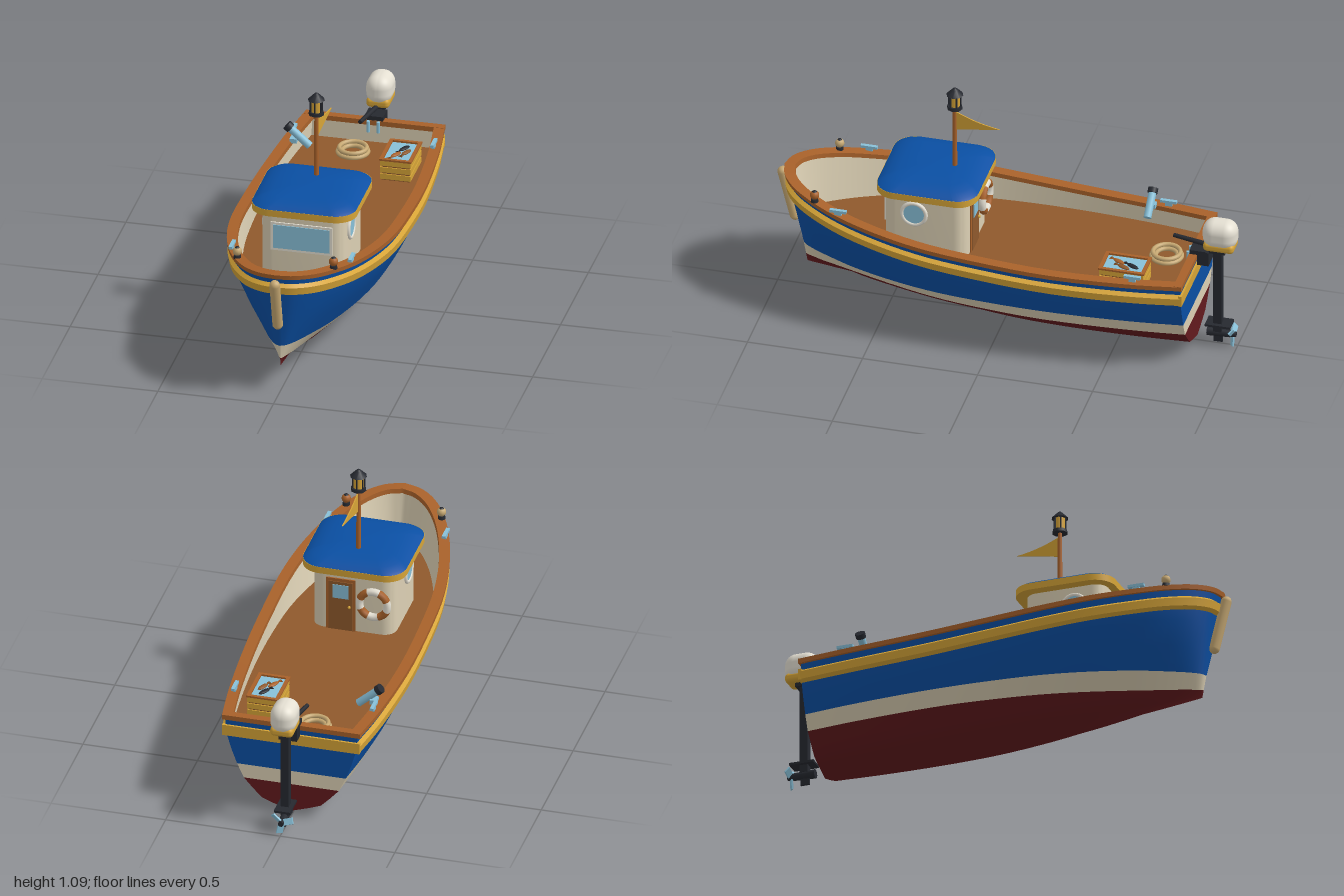
import * as THREE from 'three';
import { toCreasedNormals } from 'three/addons/utils/BufferGeometryUtils.js';
import { RoundedBoxGeometry } from 'three/addons/geometries/RoundedBoxGeometry.js';

const paint = (name, color) => Object.assign(new THREE.MeshStandardMaterial({ color }), { name });

// Skin over rows of points; faces look outward when rows rise and run towards +z on the +x side
function grid(rows) {
  const n = rows[0].length, pos = [], index = [];
  rows.forEach(row => row.forEach(p => pos.push(p.x, p.y, p.z)));
  for (let r = 0; r < rows.length - 1; r++) for (let c = 0; c < n - 1; c++) {
    const a = r * n + c, b = a + 1, d = a + n, e = d + 1;
    index.push(a, d, b, b, d, e);
  }
  const g = new THREE.BufferGeometry();
  g.setAttribute('position', new THREE.Float32BufferAttribute(pos, 3));
  g.setIndex(index);
  g.computeVertexNormals();
  return g;
}

// Sheer line of one side, stern to bow: half width, height, z
const STERN = -0.825, BOW = 0.955, N = 36;
const sheer = new THREE.CatmullRomCurve3([
  [0.29, 0.442, STERN], [0.32, 0.44, -0.6], [0.346, 0.445, -0.25], [0.35, 0.464, 0.05], [0.342, 0.486, 0.3],
  [0.312, 0.51, 0.5], [0.263, 0.532, 0.67], [0.209, 0.552, 0.79], [0.142, 0.568, 0.885], [0.07, 0.578, 0.938], [0, 0.582, BOW],
].map(p => new THREE.Vector3(...p)));
const stations = Array.from({ length: N + 1 }, (_, i) => sheer.getPoint(i / N));
const keelY = z => 0.03 + 0.095 * Math.pow((z - STERN) / 1.78, 2.5);
const section = [[0, 0], [0.1, 0.43], [0.295, 0.7], [0.44, 0.8], [0.75, 0.96], [1, 1]];

function fullness(h) {
  for (let i = 1; i < section.length; i++) {
    const [h0, f0] = section[i - 1], [h1, f1] = section[i];
    if (h <= h1) return f0 + (f1 - f0) * Math.max(0, h - h0) / (h1 - h0);
  }
  return 1;
}

// Point on the hull at station k and height y
function hullPoint(k, y) {
  const p = stations[k], s = (p.z - STERN) / (BOW - STERN), kb = keelY(p.z);
  const f = Math.pow(fullness((y - kb) / (p.y - kb)), 1 + 0.9 * s ** 4);
  const stem = 0.87 + (y - 0.125) * 0.185;
  return new THREE.Vector3(p.x * f, y, STERN + s * (stem - STERN));
}

// Line round the hull from stern to bow and back, pushed out by d
function hullLine(height, d = 0) {
  const pts = [];
  for (let i = 0; i <= 2 * N; i++) {
    const k = i <= N ? i : 2 * N - i, p = hullPoint(k, height(k));
    if (i > N) p.x *= -1;
    pts.push(p);
  }
  return pts.map((p, i) => {
    const a = pts[Math.max(0, i - 1)], b = pts[Math.min(2 * N, i + 1)];
    const dx = b.x - a.x, dz = b.z - a.z, l = Math.hypot(dx, dz) || 1;
    const q = new THREE.Vector3(p.x + dz / l * d, p.y, i === 0 || i === 2 * N ? p.z : p.z - dx / l * d);
    q.x = i < N ? Math.max(0, q.x) : i > N ? Math.min(0, q.x) : 0;
    return q;
  });
}
const sweep = pts => toCreasedNormals(grid(pts.map(([d, dy]) => hullLine(k => stations[k].y + dy, d))), 0.5);

// Rounded rectangle, drawn with its y as -z
function roundedShape(hx, z0, z1, r) {
  const s = new THREE.Shape(), q = Math.PI / 2;
  s.absarc(hx - r, -z0 - r, r, 0, q);
  s.absarc(-hx + r, -z0 - r, r, q, 2 * q);
  s.absarc(-hx + r, -z1 + r, r, 2 * q, 3 * q);
  s.absarc(hx - r, -z1 + r, r, 3 * q, 4 * q);
  s.closePath();
  return s;
}
const slab = (shape, y, depth) => toCreasedNormals(
  new THREE.ExtrudeGeometry(shape, { depth, bevelEnabled: false, curveSegments: 5 }).rotateX(-Math.PI / 2).translate(0, y, 0), 0.6);

export function createModel() {
  const model = new THREE.Group();
  const blue = paint('blue paint', 0x0a4fa3), gold = paint('gold paint', 0xd6a437), cream = paint('cream paint', 0xdcd0b4);
  const red = paint('bottom red', 0x621a1d), wood = paint('varnished wood', 0xa8612a), planks = paint('deck wood', 0x8f592c);
  const black = paint('black metal', 0x262930), glass = paint('pale blue', 0x88c0d8), rope = paint('rope tan', 0xc7a973);
  const white = paint('cowl white', 0xe4dfd2);
  const add = (name, geo, mat, pos = [0, 0, 0], rot = [0, 0, 0], parent = model) => {
    const m = new THREE.Mesh(geo, mat);
    m.name = name;
    m.position.set(...pos);
    m.rotation.set(...rot);
    parent.add(m);
    return m;
  };
  const box = (name, mat, size, pos, rot) => add(name, new THREE.BoxGeometry(...size), mat, pos, rot);
  const cyl = (name, mat, r0, r1, h, pos, rot, n = 12) => add(name, new THREE.CylinderGeometry(r0, r1, h, n), mat, pos, rot);

  // Hull in painted bands, each with its piece of transom
  const low = k => keelY(stations[k].z), mix = (a, b, t) => a + (b - a) * t;
  const bands = [
    ['bottom', red, [0, 0.2, 0.35, 0.65, 1].map(t => k => mix(low(k), 0.16, t))],
    ['waterlineBand', cream, [0, 1].map(t => () => mix(0.16, 0.225, t))],
    ['topside', blue, [0, 0.3, 0.6, 0.8, 1].map(t => k => mix(0.225, stations[k].y, t))],
  ];
  for (const [name, mat, heights] of bands) {
    const rows = heights.map(h => hullLine(h));
    add(name, grid(rows), mat);
    add(name + 'Transom', grid(rows.map(r => [r[2 * N], r[0]])), mat);
  }

  // Bulwark lining, deck, rub strake and rail
  const deckY = 0.357, deckLine = hullLine(() => deckY, -0.014);
  add('bulwarkLining', grid([hullLine(k => stations[k].y, -0.028), deckLine]), cream);
  box('transomLining', cream, [0.54, 0.09, 0.02], [0, 0.4, -0.81]);
  add('deck', grid([deckLine.slice(0, N + 1), deckLine.slice(N).reverse()]), planks);
  add('rubStrake', sweep([[0, -0.09], [0.018, -0.08], [0.018, -0.046], [0, -0.033]]), gold);
  box('sternStrake', gold, [0.6, 0.05, 0.016], [0, 0.384, -0.826]);
  add('rail', sweep([[-0.034, -0.006], [0.012, -0.006], [0.012, 0.014], [-0.034, 0.014], [-0.034, -0.006]]), wood);
  box('sternRail', wood, [0.602, 0.022, 0.035], [0, 0.446, -0.8155]);
  add('bowFender', new THREE.CapsuleGeometry(0.023, 0.215, 6, 12), rope, [0, 0.449, 0.951], [0.25, 0, 0]);

  // Cabin
  add('cabinWalls', slab(roundedShape(0.18, 0.135, 0.495, 0.055), deckY, 0.29), cream);
  const roof = roundedShape(0.226, 0.09, 0.53, 0.09);
  add('roofTrim', slab(roof, 0.643, 0.03), gold);
  const edge = roof.getPoints(5).reverse();
  add('roof', grid([[1, 0.672], [0.95, 0.681], [0.83, 0.694], [0.66, 0.703], [0.4, 0.709], [0, 0.711]].map(([s, y]) =>
    edge.map(p => new THREE.Vector3(p.x * s, y, 0.31 + (-p.y - 0.31) * s)))), blue);
  box('windshieldFrame', white, [0.266, 0.13, 0.008], [0, 0.538, 0.497]);
  box('windshield', glass, [0.244, 0.108, 0.008], [0, 0.538, 0.5]);
  for (const x of [-1, 1]) {
    add('portholeRing', new THREE.TorusGeometry(0.052, 0.009, 8, 24), white, [x * 0.182, 0.555, 0.36], [0, Math.PI / 2, 0]);
    cyl('portholeGlass', glass, 0.05, 0.05, 0.008, [x * 0.182, 0.555, 0.36], [0, 0, Math.PI / 2], 24);
  }
  box('doorFrame', wood, [0.128, 0.248, 0.008], [0.05, 0.481, 0.133]);
  box('door', planks, [0.106, 0.232, 0.009], [0.05, 0.475, 0.13]);
  box('doorWindow', glass, [0.07, 0.065, 0.008], [0.05, 0.545, 0.127]);
  add('doorKnob', new THREE.SphereGeometry(0.007, 8, 6), gold, [0.011, 0.475, 0.122]);

  // Lifebuoy in alternating segments
  const buoy = new THREE.Group();
  buoy.name = 'lifebuoy';
  buoy.position.set(-0.095, 0.508, 0.12);
  model.add(buoy);
  for (let i = 0; i < 8; i++)
    add('buoySegment', new THREE.TorusGeometry(0.061, 0.017, 8, 5, Math.PI / 4), i % 2 ? white : wood, [0, 0, 0], [0, 0, i * Math.PI / 4 + 0.4], buoy);

  // Mast, flag and lantern
  cyl('mast', wood, 0.009, 0.011, 0.31, [0, 0.85, 0.23]);
  const flag = new THREE.Shape();
  flag.moveTo(0, 0.978);
  flag.quadraticCurveTo(0.09, 0.937, 0.195, 0.927);
  flag.quadraticCurveTo(0.09, 0.907, 0, 0.888);
  add('flag', new THREE.ExtrudeGeometry(flag, { depth: 0.005, bevelEnabled: false }), gold, [0, 0, 0.225], [0, Math.PI / 2 - 0.07, 0]);
  cyl('lanternBase', black, 0.032, 0.034, 0.014, [0, 1.0, 0.23], [0, 0, 0], 8);
  cyl('lanternLight', gold, 0.023, 0.023, 0.06, [0, 1.035, 0.23], [0, 0, 0], 8);
  for (let i = 0; i < 6; i++) {
    const a = i * Math.PI / 3 + Math.PI / 6;
    cyl('lanternPost', black, 0.0035, 0.0035, 0.06, [Math.cos(a) * 0.026, 1.035, 0.23 + Math.sin(a) * 0.026], [0, 0, 0], 6);
  }
  cyl('lanternCap', black, 0.014, 0.037, 0.024, [0, 1.073, 0.23], [0, 0, 0], 8);
  cyl('lanternTip', black, 0.005, 0.014, 0.008, [0, 1.089, 0.23], [0, 0, 0], 8);

  // Cleats and bow lights on both rails
  for (const s of [-1, 1]) {
    for (const [x, y, z] of [[0.303, 0.455, -0.62], [0.258, 0.545, 0.67]]) {
      box('cleatFoot', glass, [0.012, 0.02, 0.03], [s * x, y + 0.006, z]);
      box('cleatBar', glass, [0.016, 0.012, 0.072], [s * x, y + 0.02, z]);
    }
    cyl('bowLightBase', black, 0.015, 0.017, 0.014, [s * 0.208, 0.571, 0.785]);
    add('bowLight', new THREE.SphereGeometry(0.02, 12, 8), s > 0 ? wood : rope, [s * 0.208, 0.596, 0.785]);
    cyl('bowLightCap', black, 0.006, 0.012, 0.006, [s * 0.208, 0.614, 0.785]);
  }

  // Rod holder on the rail
  const tilt = [0, 0, 0.85];
  cyl('rodHolder', glass, 0.017, 0.017, 0.12, [-0.262, 0.475, -0.55], tilt);
  cyl('rodHolderCollar', black, 0.022, 0.022, 0.022, [-0.307, 0.515, -0.55], tilt);
  box('rodHolderFoot', glass, [0.03, 0.02, 0.04], [-0.285, 0.458, -0.55]);

  // Coiled rope
  for (const [r, y] of [[0.064, 0.367], [0.046, 0.37], [0.058, 0.384]])
    add('ropeCoil', new THREE.TorusGeometry(r, 0.01, 8, 28), rope, [-0.06, y, -0.675], [Math.PI / 2, 0, 0]);

  // Slatted crate with ice and fish
  const cx = 0.175, cz = -0.556;
  box('crateCore', planks, [0.122, 0.085, 0.182], [cx, 0.4, cz]);
  for (const s of [-1, 1]) {
    for (const y of [0.375, 0.406, 0.437]) {
      box('crateSlat', gold, [0.008, 0.024, 0.192], [cx + s * 0.062, y, cz]);
      box('crateSlat', gold, [0.132, 0.024, 0.008], [cx, y, cz + s * 0.092]);
    }
    box('crateRim', wood, [0.015, 0.008, 0.198], [cx + s * 0.062, 0.453, cz]);
    box('crateRim', wood, [0.138, 0.008, 0.015], [cx, 0.453, cz + s * 0.092]);
  }
  box('ice', glass, [0.11, 0.008, 0.174], [cx, 0.444, cz]);
  for (const [dx, dz, turn, mat] of [[-0.014, 0.03, -0.5, wood], [0.008, -0.035, -0.5, black], [0.024, 0, -0.4, planks]]) {
    const fish = new THREE.Group();
    fish.name = 'fish';
    fish.position.set(cx + dx, 0.45, cz + dz);
    fish.rotation.y = turn;
    model.add(fish);
    add('fishBody', new THREE.SphereGeometry(1, 10, 6), mat, [0, 0, 0], [0, 0, 0], fish).scale.set(0.012, 0.007, 0.032);
    add('fishTail', new THREE.CylinderGeometry(0.002, 0.014, 0.02, 3), mat, [0, 0, 0.036], [-Math.PI / 2, 0, 0], fish).scale.set(1, 1, 0.3);
  }

  // Outboard motor
  add('motorCowl', new RoundedBoxGeometry(0.112, 0.13, 0.15, 5, 0.052), white, [0, 0.556, -0.925]);
  add('cowlBand', new RoundedBoxGeometry(0.1, 0.044, 0.134, 3, 0.018), gold, [0, 0.505, -0.925]);
  box('motorNeck', black, [0.055, 0.025, 0.07], [0, 0.478, -0.915]);
  box('motorBracket', black, [0.08, 0.065, 0.05], [0, 0.44, -0.858]);
  box('motorClamp', black, [0.08, 0.02, 0.07], [0, 0.466, -0.835]);
  for (const x of [-0.022, 0.022]) cyl('clampScrew', glass, 0.008, 0.008, 0.05, [x, 0.432, -0.79], [0, 0, 0], 8);
  cyl('tiller', black, 0.009, 0.011, 0.17, [-0.02, 0.488, -0.795], [Math.PI / 2, 0, 0.22]);
  box('motorLeg', black, [0.036, 0.41, 0.036], [0, 0.275, -0.915]);
  box('cavitationPlate', black, [0.07, 0.01, 0.11], [0, 0.107, -0.92]);
  cyl('gearCase', black, 0.02, 0.016, 0.1, [0, 0.06, -0.918], [Math.PI / 2, 0, 0]);
  box('skeg', black, [0.01, 0.06, 0.04], [0, 0.045, -0.915]);
  cyl('propellerHub', black, 0.012, 0.014, 0.03, [0, 0.06, -0.978], [-Math.PI / 2, 0, 0]);
  for (let i = 0; i < 3; i++) {
    const a = i * Math.PI * 2 / 3 + 0.2;
    const blade = new THREE.BoxGeometry(0.028, 0.042, 0.007).rotateY(0.6).translate(0, -0.031, 0).rotateZ(a);
    add('propellerBlade', blade, glass, [0, 0.06, -0.978]);
  }
  return model;
}
